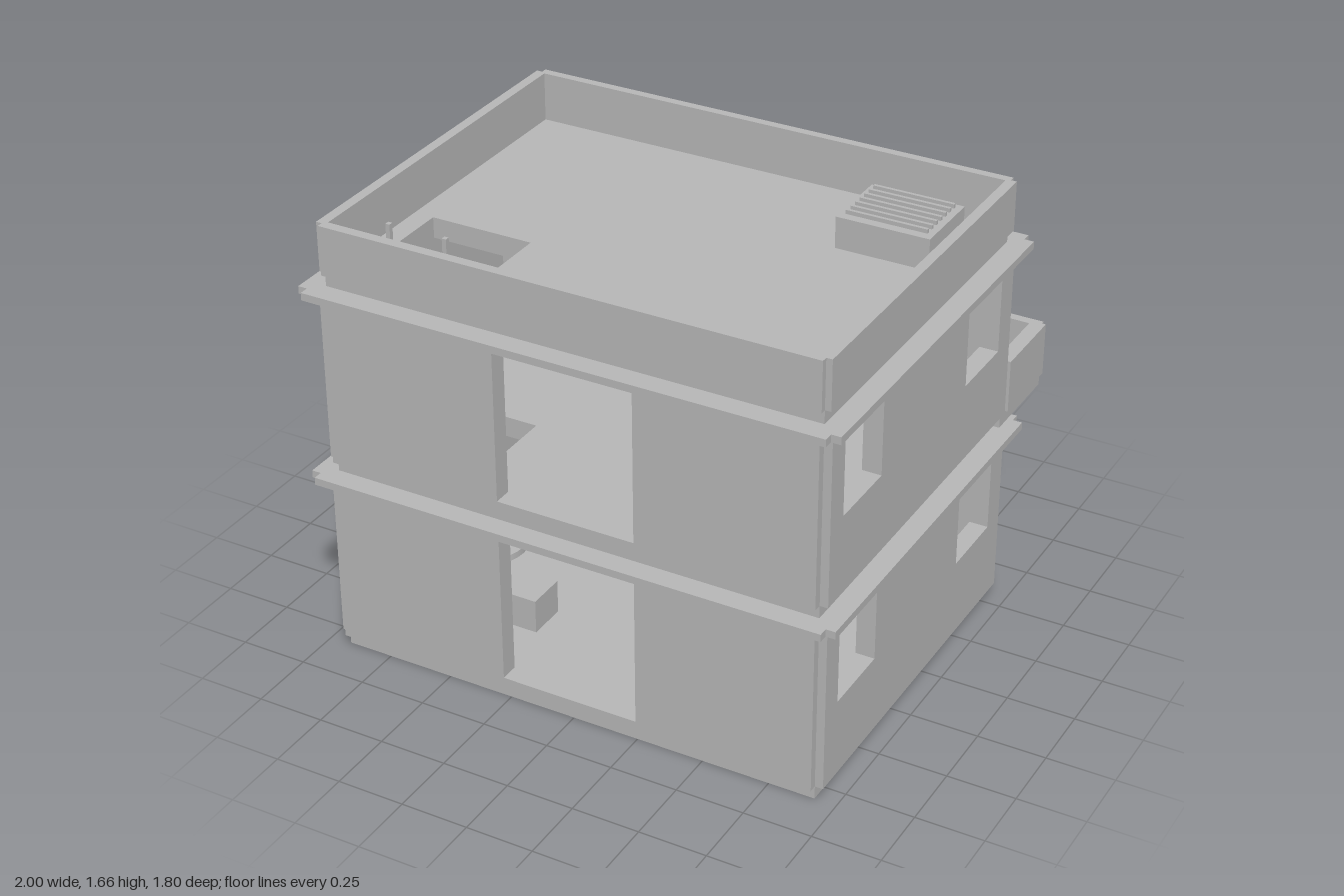
import * as THREE from 'three';

const mat = new THREE.MeshStandardMaterial({ color: 0xb8b8b8 });
mat.name = 'plaster grey';

const FRONT = 0.82, BACK = -0.56, HALF = 0.92; // core footprint
const PITCH = 0.715;                           // storey height

// Box from min/max corners
function box(parent, name, x0, x1, y0, y1, z0, z1) {
  const m = new THREE.Mesh(new THREE.BoxGeometry(x1 - x0, y1 - y0, z1 - z0), mat);
  m.position.set((x0 + x1) / 2, (y0 + y1) / 2, (z0 + z1) / 2);
  m.name = name;
  parent.add(m);
  return m;
}

function cylinder(parent, name, r, y0, y1, x, z) {
  const m = new THREE.Mesh(new THREE.CylinderGeometry(r, r, y1 - y0, 32), mat);
  m.position.set(x, (y0 + y1) / 2, z);
  m.name = name;
  parent.add(m);
}

function points(list) {
  return list.map(([x, y]) => new THREE.Vector2(x, y));
}

function rect(x0, x1, y0, y1) {
  return points([[x0, y0], [x1, y0], [x1, y1], [x0, y1]]);
}

function shapeOf(outline, holes = []) {
  const s = new THREE.Shape(outline);
  holes.forEach((h) => s.holes.push(new THREE.Path(h)));
  return s;
}

function extrude(parent, name, shape, depth) {
  const m = new THREE.Mesh(new THREE.ExtrudeGeometry(shape, { depth, bevelEnabled: false }), mat);
  m.name = name;
  parent.add(m);
  return m;
}

// Footprint grown by d on each side, with small square notches at the corners
function notched(d, n) {
  const x = HALF + d, a = BACK - d, b = FRONT + d;
  return points([
    [-x + n, a], [x - n, a], [x - n, a + n], [x, a + n], [x, b - n], [x - n, b - n],
    [x - n, b], [-x + n, b], [-x + n, b - n], [-x, b - n], [-x, a + n], [-x + n, a + n],
  ]);
}

// Horizontal plate, outline given in x and z
function plate(parent, name, outline, holes, y0, y1) {
  const m = extrude(parent, name, shapeOf(outline, holes), y1 - y0);
  m.rotation.x = Math.PI / 2;
  m.position.y = y1;
}

// Arched surround: straight legs with an elliptical head
function archSurround(parent, y) {
  const pts = [[-0.3, y + 0.05]];
  const N = 16, spring = y + 0.455;
  for (let i = 0; i <= N; i++) {
    const a = Math.PI * (1 - i / N);
    pts.push([0.3 * Math.cos(a), spring + 0.2 * Math.sin(a)]);
  }
  pts.push([0.3, y + 0.05], [0.268, y + 0.05]);
  for (let i = 0; i <= N; i++) {
    const a = Math.PI * i / N;
    pts.push([0.268 * Math.cos(a), spring + 0.17 * Math.sin(a)]);
  }
  pts.push([-0.268, y + 0.05]);
  extrude(parent, 'archSurround', shapeOf(points(pts)), 0.035).position.z = -0.624;
}

function storey(y) {
  const g = new THREE.Group();
  const y0 = y + 0.05, y1 = y + 0.69;
  const door = rect(-0.26, 0.26, y + 0.095, y + 0.665);
  // Front and back walls with doorways
  for (const [name, z] of [['frontWall', 0.78], ['backWall', -0.59]]) {
    extrude(g, name, shapeOf(rect(-HALF, HALF, y0, y1), [door]), 0.07).position.z = z;
  }
  // Side walls with two windows each (shape x runs along -z)
  const windows = [[-0.73, -0.455], [0.195, 0.465]].map(([a, b]) => rect(a, b, y + 0.345, y + 0.625));
  for (const x of [-0.95, 0.88]) {
    const w = extrude(g, 'sideWall', shapeOf(rect(-FRONT, -BACK, y0, y1), windows), 0.07);
    w.rotation.y = Math.PI / 2;
    w.position.x = x;
  }
  archSurround(g, y);
  // Corner pilasters and narrow panels on the back
  for (const s of [-1, 1]) {
    const span = (a, b) => (s > 0 ? [a, b] : [-b, -a]);
    box(g, 'cornerPilaster', ...span(0.87, HALF), y0, y1, -0.62, -0.58);
    box(g, 'backPanel', ...span(0.77, 0.845), y + 0.09, y + 0.66, -0.605, -0.58);
  }
  return g;
}

function balcony() {
  const g = new THREE.Group();
  box(g, 'balconySlab', -0.945, 0.945, 0.72, 0.77, -0.88, -0.53);
  for (const s of [-1, 1]) {
    const m = box(g, 'sideParapet', -0.0275, 0.0275, 0.765, 0.965, -0.885, -0.575);
    m.position.x = s * 0.9275;
  }
  box(g, 'backParapet', 0, 0.94, 0.765, 0.965, -0.9, -0.865);
  box(g, 'cornerPost', -0.94, -0.9, 0.765, 0.965, -0.89, -0.86);
  // Open railing on the other half
  box(g, 'topRail', -0.92, 0, 0.948, 0.963, -0.885, -0.865);
  for (let i = 0; i < 6; i++) {
    const x = -0.005 - i * 0.16;
    box(g, 'baluster', x - 0.005, x + 0.005, 0.765, 0.95, -0.88, -0.87);
  }
  return g;
}

function roofVent() {
  const g = new THREE.Group();
  box(g, 'ventBox', 0.47, 0.815, 1.47, 1.6, -0.425, -0.15);
  for (let i = 0; i < 7; i++) {
    const z = -0.4 + i * 0.035;
    box(g, 'ventSlat', 0.49, 0.79, 1.598, 1.615, z - 0.006, z + 0.006);
  }
  return g;
}

function ladder() {
  const g = new THREE.Group();
  for (const x of [-0.757, -0.537]) box(g, 'ladderRail', x - 0.008, x + 0.008, 0.05, 1.64, 0.665, 0.682);
  for (let y = 0.15; y < 1.5; y += 0.1) box(g, 'ladderRung', -0.757, -0.537, y, y + 0.012, 0.667, 0.68);
  return g;
}

function furniture() {
  const g = new THREE.Group();
  // Round table with two stools
  cylinder(g, 'tableTop', 0.16, 0.325, 0.35, -0.58, 0.45);
  cylinder(g, 'tableLeg', 0.025, 0.05, 0.33, -0.58, 0.45);
  box(g, 'stool', -0.83, -0.72, 0.05, 0.18, 0.38, 0.52);
  box(g, 'stool', -0.45, -0.34, 0.05, 0.18, 0.36, 0.51);
  // Upstairs stand and cabinet
  box(g, 'standBase', 0.17, 0.26, 0.77, 0.93, 0.575, 0.67);
  cylinder(g, 'standColumn', 0.026, 0.92, 1.03, 0.22, 0.62);
  cylinder(g, 'standTop', 0.043, 1.02, 1.075, 0.213, 0.62);
  box(g, 'cabinet', -0.88, -0.7, 0.77, 1.2, -0.37, -0.195);
  return g;
}

export function createModel() {
  const model = new THREE.Group();
  const add = (name, part) => { part.name = name; model.add(part); };
  const core = rect(-HALF, HALF, BACK, FRONT);
  const hatch = [rect(-0.83, -0.44, 0.31, 0.725)];

  // Floors, cornices and roof parapet
  plate(model, 'groundSlab', core, [], 0, 0.05);
  for (const y of [PITCH, 2 * PITCH]) {
    plate(model, 'cornice', notched(0.08, 0.035), hatch, y - 0.025, y + 0.003);
    plate(model, 'floorSlab', core, hatch, y + 0.003, y + 0.053);
  }
  plate(model, 'roofParapet', notched(0.022, 0.022), [rect(-0.905, 0.905, -0.55, 0.805)], 1.482, 1.665);

  add('groundStorey', storey(0));
  add('upperStorey', storey(PITCH));
  add('balcony', balcony());
  add('roofVent', roofVent());
  add('ladder', ladder());
  add('furniture', furniture());
  return model;
}
